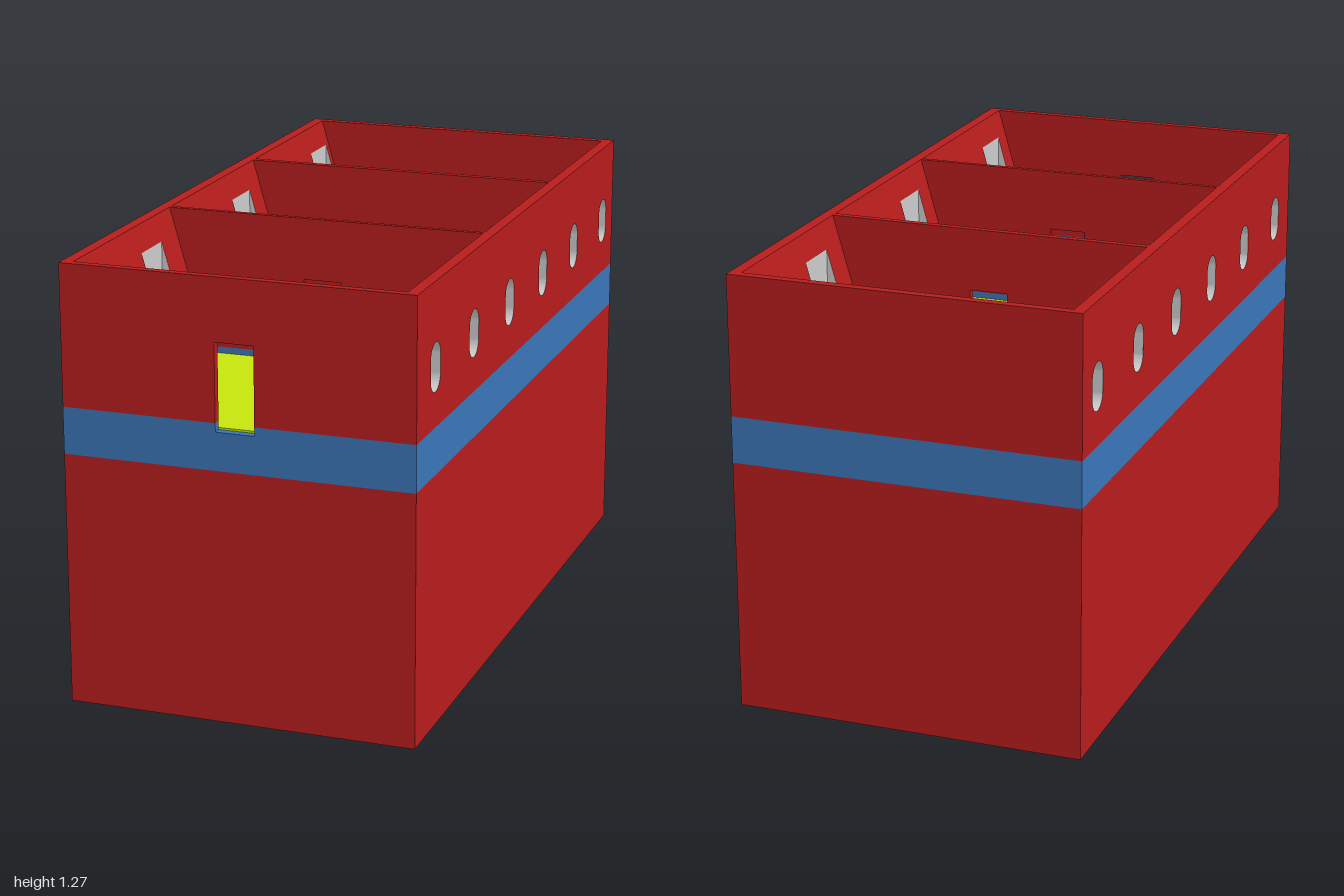
import * as THREE from 'three';

const paint = (color) => new THREE.MeshStandardMaterial({ color, side: THREE.DoubleSide });

// Main dimensions
const W = 0.507, TOP = 1.27, BAND0 = 0.73, BAND1 = 0.865, SILL = 0.84, FLOOR = 0.846;
const Z0 = -0.973, Z1 = 0.976;                       // inner faces of the end walls
const DOOR = { x0: -0.06, x1: 0.052, top: 1.09 };
const NICHE = { y0: 0.896, y1: 1.196, x: 0.4525, half: 0.0715 };
const SLOT = { r: 0.042, y0: 0.965, y1: 1.102 };
const PARTITIONS = [[-0.369, -0.348], [0.3, 0.315]];
const windowZ = Array.from({ length: 6 }, (_, i) => 0.842 - i * 0.3442);

// Inner wall surface leans outward towards the top
const slopeX = (y) => 0.3515 + (y - SILL) * (0.4735 - 0.3515) / (TOP - SILL);

export function createModel() {
  const model = new THREE.Group();
  const red = paint(0xb71c1c), blue = paint(0x3a75b8), lime = paint(0xc6e50d), grey = paint(0xcccccc);

  const add = (parent, name, geometry, material) => {
    const mesh = new THREE.Mesh(geometry, material);
    mesh.name = name;
    parent.add(mesh);
    return mesh;
  };
  const box = (parent, name, material, x0, x1, y0, y1, z0, z1) =>
    add(parent, name, new THREE.BoxGeometry(x1 - x0, y1 - y0, z1 - z0), material)
      .position.set((x0 + x1) / 2, (y0 + y1) / 2, (z0 + z1) / 2);

  const rect = (Type, z0, z1, y0, y1) => new Type([
    new THREE.Vector2(z0, y0), new THREE.Vector2(z1, y0),
    new THREE.Vector2(z1, y1), new THREE.Vector2(z0, y1)]);

  // Window slot with round ends, drawn in (z, y)
  const slot = (z) => {
    const p = new THREE.Path();
    p.absarc(z, SLOT.y1 - SLOT.r, SLOT.r, 0, Math.PI);
    p.absarc(z, SLOT.y0 + SLOT.r, SLOT.r, Math.PI, Math.PI * 2);
    return p;
  };

  // Flat panel drawn in (z, y), placed at x = side * xAt(y)
  const panel = (shape, side, xAt) => {
    const g = new THREE.ShapeGeometry(shape, 12), p = g.attributes.position;
    for (let i = 0; i < p.count; i++) {
      const z = p.getX(i), y = p.getY(i);
      p.setXYZ(i, side * xAt(y), y, z);
    }
    g.computeVertexNormals();
    return g;
  };

  // Strip joining two matching loops of points
  const loft = (a, b) => {
    const n = a.length, index = [];
    for (let i = 0; i < n; i++) {
      const j = (i + 1) % n;
      index.push(i, j, n + i, j, n + j, n + i);
    }
    const g = new THREE.BufferGeometry().setFromPoints([...a, ...b]);
    g.setIndex(index);
    g.computeVertexNormals();
    return g;
  };

  // Solid lower body, band and room floors
  box(model, 'lowerBody', red, -W, W, 0, BAND0, -1, 1);
  box(model, 'band', blue, -W, W, BAND0, SILL, -1, 1);
  const edges = [Z0, ...PARTITIONS.flat(), Z1];
  for (let i = 0; i < edges.length; i += 2)
    box(model, 'roomFloor', lime, -0.3535, 0.3535, SILL, FLOOR, edges[i], edges[i + 1]);

  // Cross wall with a doorway
  const doorWall = (name, half, z0, z1) => {
    const g = new THREE.Group();
    g.name = name;
    for (const [x0, x1] of [[-half, DOOR.x0], [DOOR.x1, half]]) {
      box(g, 'wallFoot', blue, x0, x1, SILL, BAND1, z0, z1);
      box(g, 'wallSide', red, x0, x1, BAND1, TOP, z0, z1);
    }
    box(g, 'lintel', red, DOOR.x0, DOOR.x1, DOOR.top, TOP, z0, z1);
    model.add(g);
  };
  doorWall('frontWall', W, Z1, 1);
  for (const [z0, z1] of PARTITIONS) doorWall('partition', 0.4735, z0, z1);
  box(model, 'backWallFoot', blue, -W, W, SILL, BAND1, -1, Z0);
  box(model, 'backWall', red, -W, W, BAND1, TOP, -1, Z0);

  // Side walls: upright outside, leaning inside, with window niches
  for (const side of [1, -1]) {
    const wall = new THREE.Group();
    wall.name = side > 0 ? 'leftWall' : 'rightWall';
    model.add(wall);

    const foot = rect(THREE.Shape, Z0, Z1, SILL, BAND1);
    add(wall, 'footOutside', panel(foot, side, () => W), blue);
    add(wall, 'footInside', panel(foot, side, slopeX), blue);

    const outside = rect(THREE.Shape, Z0, Z1, BAND1, TOP);
    const inside = rect(THREE.Shape, Z0, Z1, BAND1, TOP);
    for (const z of windowZ) {
      outside.holes.push(slot(z));
      inside.holes.push(rect(THREE.Path, z - NICHE.half, z + NICHE.half, NICHE.y0, NICHE.y1));
    }
    add(wall, 'outerFace', panel(outside, side, () => W), red);
    add(wall, 'innerFace', panel(inside, side, slopeX), red);

    const rim = add(wall, 'rim', new THREE.PlaneGeometry(W - 0.4735, Z1 - Z0), red);
    rim.rotation.x = -Math.PI / 2;
    rim.position.set(side * (W + 0.4735) / 2, TOP, (Z0 + Z1) / 2);

    for (const z of windowZ) {
      const niche = new THREE.Group();
      niche.name = 'windowNiche';
      wall.add(niche);
      const back = rect(THREE.Shape, z - NICHE.half, z + NICHE.half, NICHE.y0, NICHE.y1);
      back.holes.push(slot(z));
      add(niche, 'nicheBack', panel(back, side, () => NICHE.x), grey);

      const x0 = slopeX(NICHE.y0);
      const sill = add(niche, 'nicheSill', new THREE.PlaneGeometry(NICHE.x - x0, NICHE.half * 2), grey);
      sill.rotation.x = -Math.PI / 2;
      sill.position.set(side * (NICHE.x + x0) / 2, NICHE.y0, z);

      const cheek = new THREE.Shape([
        new THREE.Vector2(side * x0, NICHE.y0), new THREE.Vector2(side * NICHE.x, NICHE.y0),
        new THREE.Vector2(side * NICHE.x, NICHE.y1)]);
      for (const e of [-1, 1])
        add(niche, 'nicheCheek', new THREE.ShapeGeometry(cheek), grey).position.z = z + e * NICHE.half;

      // Lining of the slot through the wall
      const pts = slot(z).getPoints(12);
      pts.pop();
      const loop = (x) => pts.map((p) => new THREE.Vector3(side * x, p.y, p.x));
      add(niche, 'slotLining', loft(loop(NICHE.x), loop(W)), grey);
    }
  }
  return model;
}
